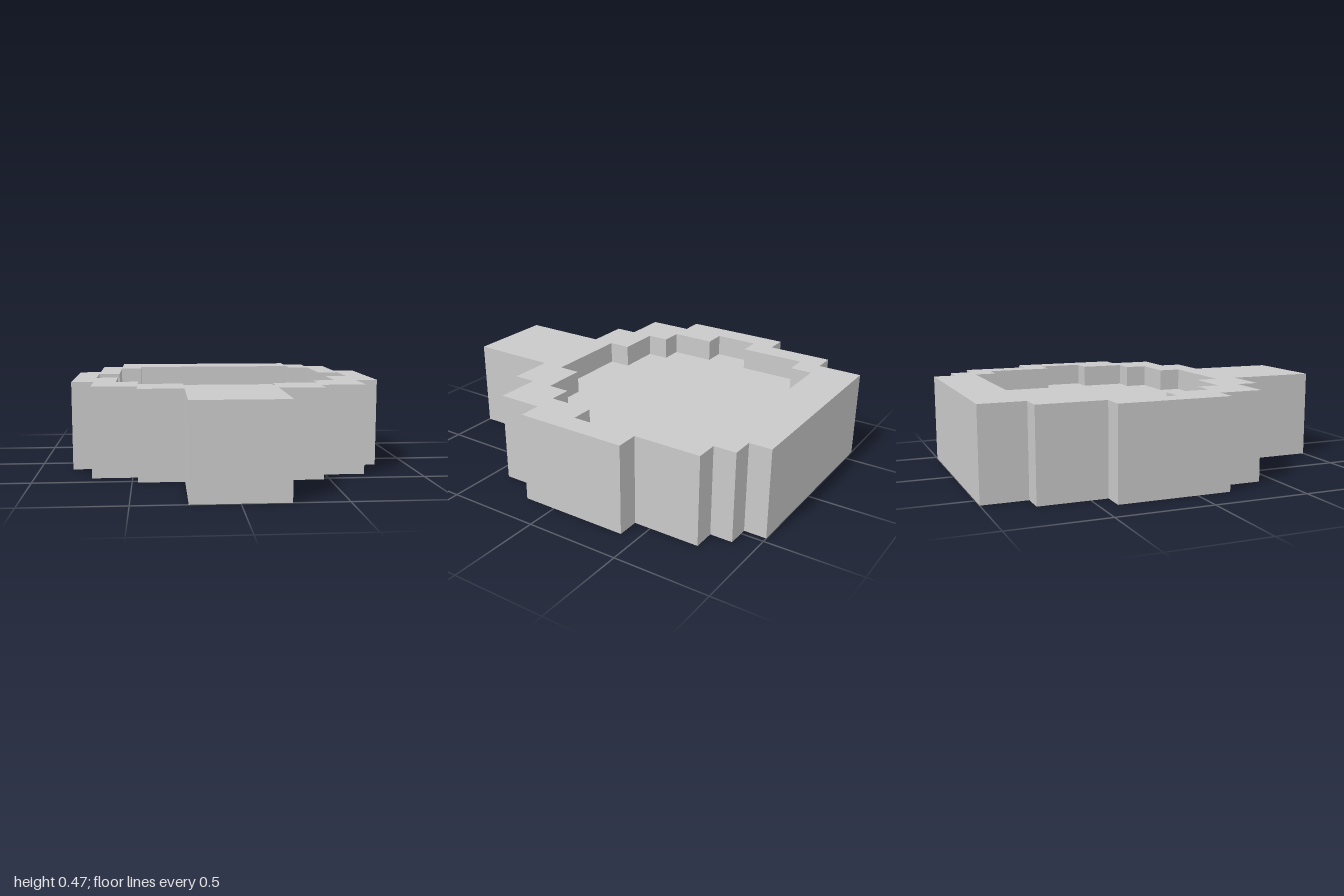
import * as THREE from 'three';

const U = 2 / 17; // one grid step

// Extrudes a clockwise plan outline of [x, z] grid points upward from y0 by height (in steps)
function slab(name, outline, y0, height, material, hole) {
  const points = (list) => list.map(([x, z]) => new THREE.Vector2(x * U, -z * U));
  const shape = new THREE.Shape(points(outline));
  // The hole runs against the outline so its walls face inward
  if (hole) shape.holes.push(new THREE.Path(points(hole).reverse()));
  const geometry = new THREE.ExtrudeGeometry(shape, { depth: height * U, bevelEnabled: false });
  geometry.rotateX(-Math.PI / 2);
  geometry.translate(0, y0 * U, 0);
  const mesh = new THREE.Mesh(geometry, material);
  mesh.name = name;
  return mesh;
}

// Closes a +x half outline with its mirror image
const mirrored = (half) => [...half, ...half.map(([x, z]) => [-x, z]).reverse()];

export function createModel() {
  const grey = new THREE.MeshStandardMaterial({ color: 0xc9c9c9 });
  grey.name = 'light grey';

  // Stepped sides and front tab, shared by left and right
  const side = [
    [5, -6.5], [6, -6.5], [6, -3.5], [7, -3.5], [7, 1.5], [6, 1.5],
    [6, 3.5], [4, 3.5], [4, 4.5], [2, 4.5], [2, 8.5],
  ];
  // The back block has a notch on its left corner only
  const outer = [[-5, -8.5], [4, -8.5], [4, -7.5], [5, -7.5], ...mirrored(side)];

  const inner = mirrored([
    [4, -6.5], [4, -5.5], [5, -5.5], [5, -2.5], [6, -2.5], [6, -0.5],
    [5, -0.5], [5, 1.5], [4, 1.5], [4, 2.5], [2, 2.5], [2, 3.5],
  ]);

  const model = new THREE.Group();
  model.name = 'steppedTray';
  model.add(
    slab('rim', outer, 0, 4, grey, inner),
    // Floor recessed by one step from above and below
    slab('recessedFloor', inner, 1, 2, grey),
  );
  return model;
}
